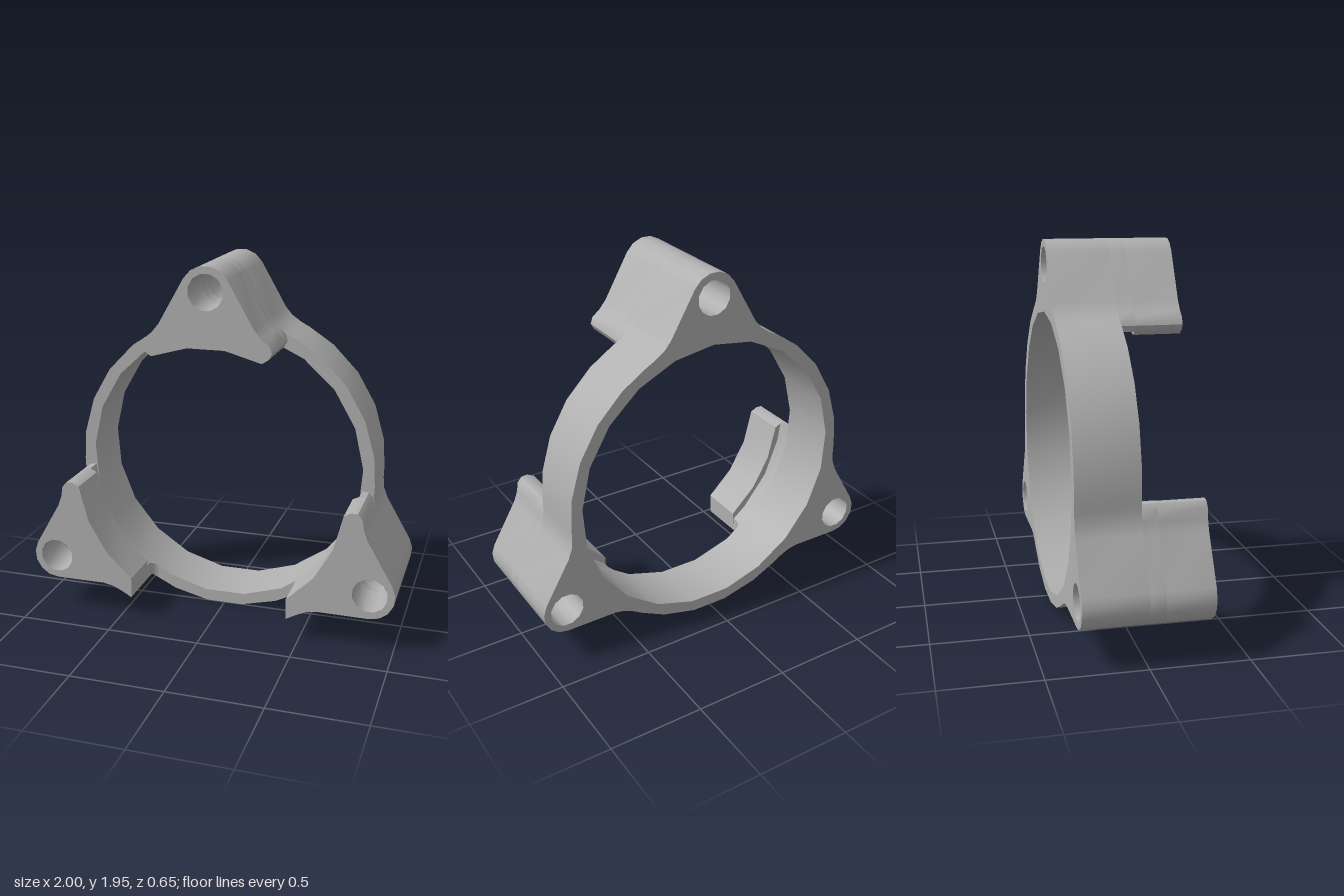
import * as THREE from 'three';
import { toCreasedNormals } from 'three/addons/utils/BufferGeometryUtils.js';

const CENTRE_Y = 0.817;   // height of the ring axis
const HALF = 0.325;       // half of the total depth
const OUTER = 0.823, INNER = 0.76, LIP = 0.727;
const EAR = 1.005;        // distance of the bolt holes from the axis
const rad = THREE.MathUtils.degToRad;

const polar = (r, deg, cx = 0, cy = 0) =>
  new THREE.Vector2(cx + r * Math.cos(rad(deg)), cy + r * Math.sin(rad(deg)));
const points = (list) => list.map(([x, y]) => new THREE.Vector2(x, y));
const mirror = (list) => list.map((p) => new THREE.Vector2(-p.x, p.y)).reverse();
const turn = (list, deg) => list.map((p) => p.clone().rotateAround(new THREE.Vector2(), rad(deg)));
const polygon = (r, n, start, cx = 0, cy = 0) =>
  Array.from({ length: n }, (_, i) => polar(r, start + (i * 360) / n, cx, cy));

// Rounded ear tip around a bolt hole, from its right flank to its left flank
const tip = [30, 54, 78, 102, 126, 150].map((a) => polar(0.13, a, 0, EAR));
const boltHole = polygon(0.093, 12, 15, 0, EAR);

// Right-hand flanks of an ear, listed from the inside outwards
const blend = points([[0.385, 0.728], [0.335, 0.755], [0.285, 0.79], [0.248, 0.834]]);
const ends = {
  round: points([[0.325, 0.69], [0.34, 0.72], [0.328, 0.755], [0.285, 0.79], [0.248, 0.834]]),
  cut: points([[0.386, 0.725], [0.335, 0.755], [0.285, 0.79], [0.248, 0.834]]),
};
const seat = { round: polar(INNER, 64.7), cut: polar(INNER, 65.2) };
const seatArc = [107.14, 90, 72.86].map((a) => polar(INNER, a));
const lipArc = [113.5, 97.8, 82.2, 66.5].map((a) => polar(LIP, a));

export function createModel() {
  const group = new THREE.Group();
  const grey = new THREE.MeshStandardMaterial({ color: 0xb0b0b0 });
  grey.name = 'grey';

  function addMesh(geometry, name) {
    const mesh = new THREE.Mesh(toCreasedNormals(geometry, rad(32)), grey);
    mesh.name = name;
    group.add(mesh);
  }
  function addPlate(outline, holes, z0, z1, name) {
    const shape = new THREE.Shape(outline);
    holes.forEach((h) => shape.holes.push(new THREE.Path(h)));
    const geometry = new THREE.ExtrudeGeometry(shape, { depth: z1 - z0, bevelEnabled: false });
    geometry.translate(0, CENTRE_Y, z0);
    addMesh(geometry, name);
  }

  // Back ring with three ears blended into it
  const third = [
    ...[37, 51].map((a) => polar(OUTER, a)),
    ...blend, ...tip, ...mirror(blend),
    ...[129, 143].map((a) => polar(OUTER, a)),
  ];
  const turns = [0, 120, 240];
  addPlate(
    turns.flatMap((a) => turn(third, a)),
    [polygon(INNER, 21, 90), ...turns.map((a) => turn(boltHole, a))],
    -HALF, 0, 'ring',
  );

  // Front blocks: a seat with the ring's bore, then a lip of smaller bore
  const blocks = [
    ['top', 0, 'round', 'round'],
    ['left', -120, 'round', 'cut'],
    ['right', 120, 'cut', 'round'],
  ];
  for (const [side, angle, leftEnd, rightEnd] of blocks) {
    const body = [...ends[rightEnd], ...tip, ...mirror(ends[leftEnd])];
    const seatOutline = [...body, ...mirror([seat[leftEnd]]), ...seatArc, seat[rightEnd]];
    const hole = [turn(boltHole, angle)];
    addPlate(turn(seatOutline, angle), hole, 0, 0.08, side + 'BlockSeat');
    addPlate(turn([...body, ...lipArc], angle), hole, 0.08, HALF, side + 'BlockLip');
  }

  // Small fillets where the lower blocks meet the ring face
  for (const s of [1, -1]) {
    const arc = [0, 22.5, 45, 67.5, 90].map((a) => polar(0.04, -a, 0.395, 0.04));
    const outline = [new THREE.Vector2(0.435, 0), ...arc].map((p) => new THREE.Vector2(s * p.x, p.y));
    const geometry = new THREE.ExtrudeGeometry(new THREE.Shape(outline), { depth: 0.07, bevelEnabled: false });
    geometry.rotateX(Math.PI / 2);
    const pos = geometry.attributes.position;
    for (let i = 0; i < pos.count; i++) {
      pos.setY(i, pos.getY(i) + CENTRE_Y - 0.642 + (Math.abs(pos.getX(i)) - 0.395) * 0.55);
    }
    addMesh(geometry, s > 0 ? 'leftFillet' : 'rightFillet');
  }
  return group;
}
